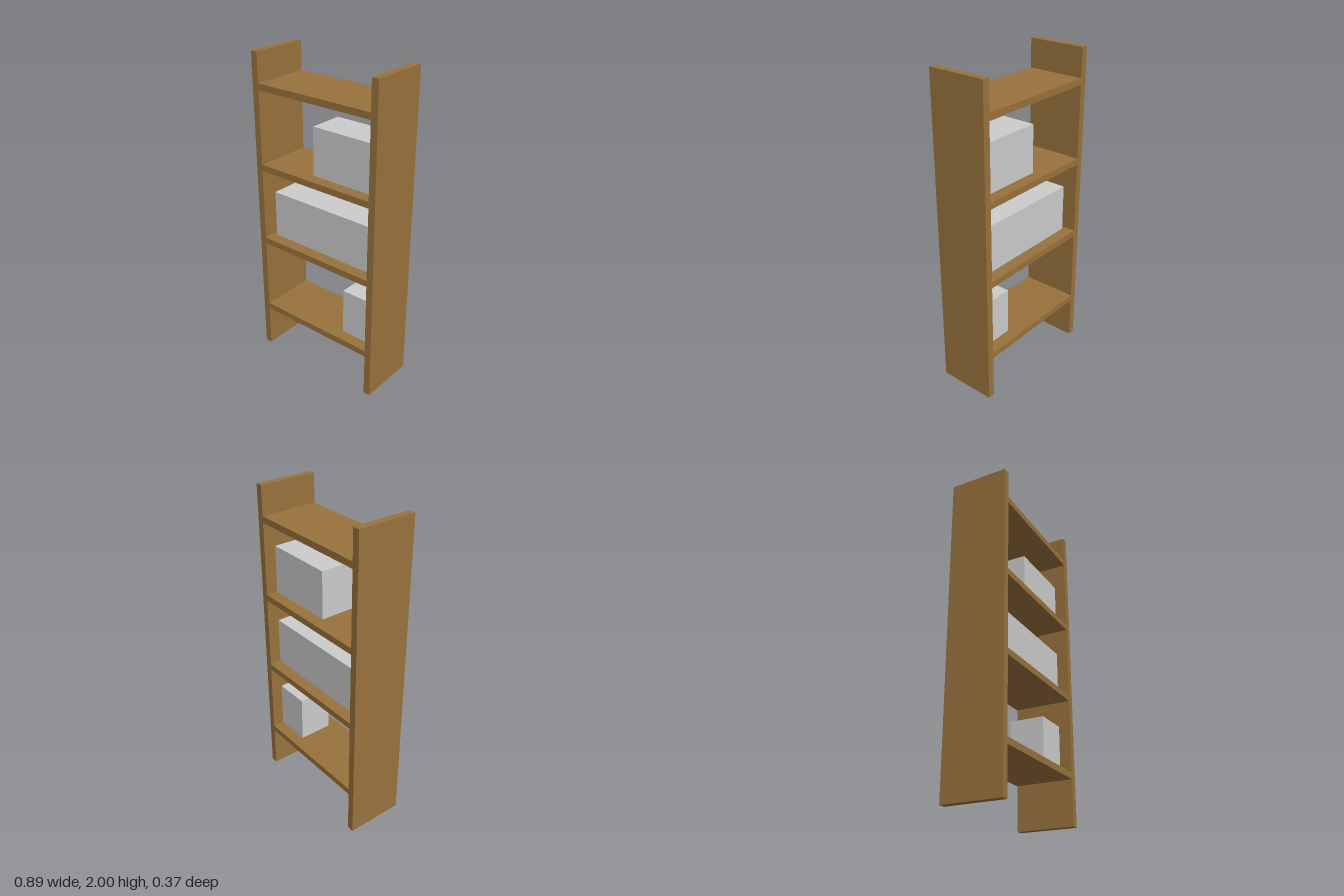
import * as THREE from 'three';

const wood = new THREE.MeshStandardMaterial({ color: 0x98723c });
const grey = new THREE.MeshStandardMaterial({ color: 0xcccccc });

const DEPTH = 0.37, INNER = 0.4, PANEL = 0.044, SHELF = 0.04;
const BOOK = { width: 0.0455, height: 0.3, depth: 0.22 };

function box(name, material, w, h, d, x, y, z = 0) {
  const mesh = new THREE.Mesh(new THREE.BoxGeometry(w, h, d), material);
  mesh.name = name;
  mesh.position.set(x, y, z);
  return mesh;
}

export function createModel() {
  const model = new THREE.Group();
  model.name = 'bookcase';

  // Upright side panels
  for (const [name, side] of [['leftPanel', 1], ['rightPanel', -1]]) {
    model.add(box(name, wood, PANEL, 2, DEPTH, side * (INNER + PANEL / 2), 1));
  }

  // Shelves, each with its row of books packed against the left panel
  const bookCounts = [5, 17, 10, 0];
  bookCounts.forEach((count, i) => {
    const y = 0.3 + i * 0.5;
    model.add(box(`shelf${i + 1}`, wood, INNER * 2, SHELF, DEPTH, 0, y));

    if (count === 0) return;
    const row = new THREE.Group();
    row.name = `bookRow${i + 1}`;
    for (let b = 0; b < count; b++) {
      const x = INNER - (b + 0.5) * BOOK.width;
      row.add(box('book', grey, BOOK.width, BOOK.height, BOOK.depth, x, y + SHELF / 2 + BOOK.height / 2));
    }
    model.add(row);
  });

  return model;
}
